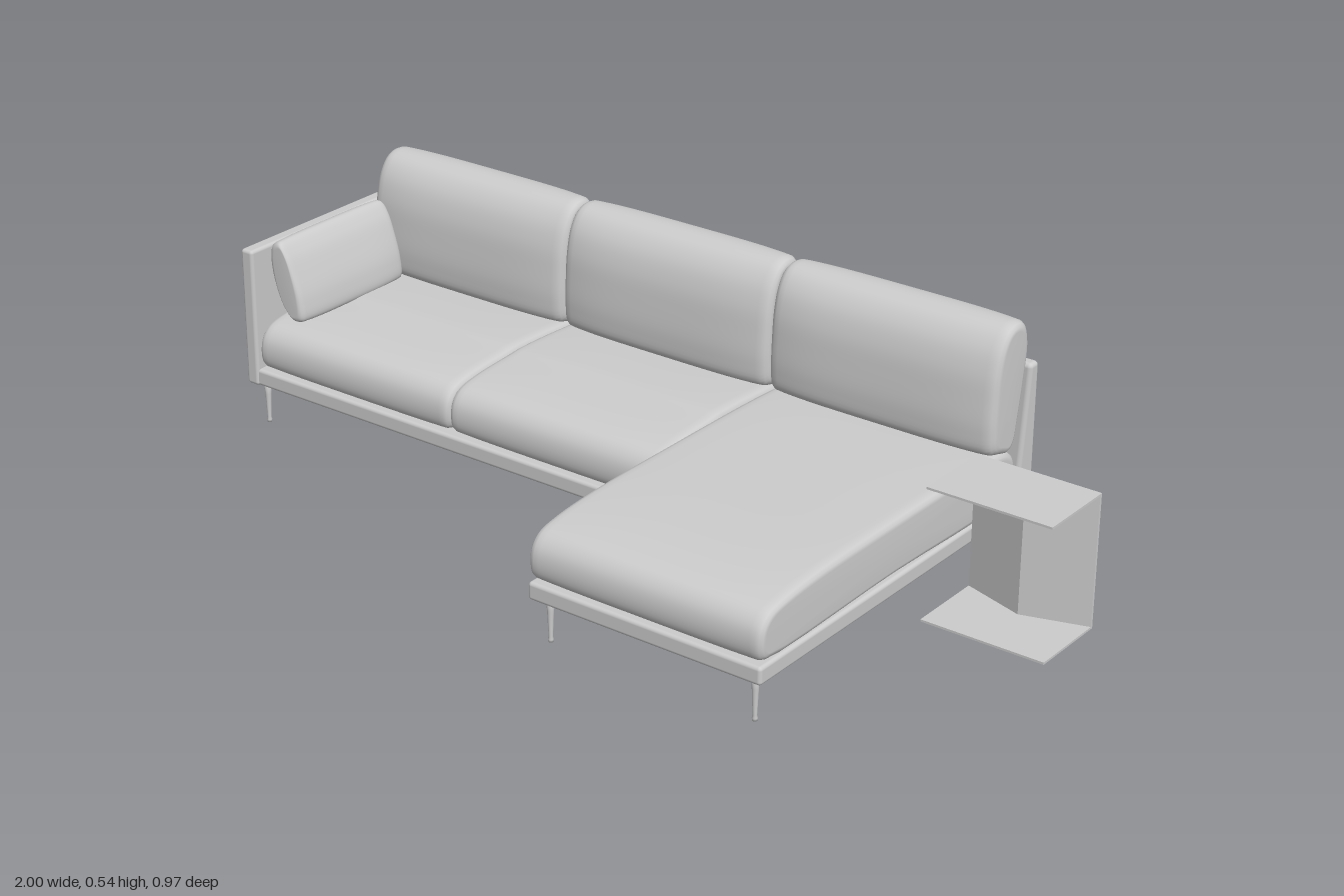
import * as THREE from 'three';
import { RoundedBoxGeometry } from 'three/addons/geometries/RoundedBoxGeometry.js';

const grey = new THREE.MeshStandardMaterial({ color: 0xcccccc });
grey.name = 'light grey';

function add(parent, name, geometry, x = 0, y = 0, z = 0) {
  const mesh = new THREE.Mesh(geometry, grey);
  mesh.name = name;
  mesh.position.set(x, y, z);
  parent.add(mesh);
  return mesh;
}

// Rounded box given by its min and max corners
function block(parent, name, [x0, y0, z0], [x1, y1, z1], radius) {
  const geometry = new RoundedBoxGeometry(x1 - x0, y1 - y0, z1 - z0, 3, radius);
  return add(parent, name, geometry, (x0 + x1) / 2, (y0 + y1) / 2, (z0 + z1) / 2);
}

// Stuffed cushion: a closed [z, y] profile swept along x, slimmer and rounded at both ends
function cushion(profile, length, radius, slimZ, slimY) {
  const points = profile.map(([z, y]) => new THREE.Vector3(0, y, z));
  let ring = new THREE.CatmullRomCurve3(points, true).getPoints(72).slice(0, -1);
  const n = ring.length, steps = 28;
  let area = 0;
  ring.forEach((p, i) => {
    const q = ring[(i + 1) % n];
    area += p.y * q.z - q.y * p.z;
  });
  if (area < 0) ring = ring.reverse();
  const box = new THREE.Box3().setFromPoints(ring);
  const centre = box.getCenter(new THREE.Vector3());
  const half = box.getSize(new THREE.Vector3()).multiplyScalar(0.5);

  const position = [], index = [];
  for (let i = 0; i <= steps; i++) {
    const t = Math.sin((i / steps - 0.5) * Math.PI);
    const edge = Math.max(0, radius - (1 - Math.abs(t)) * length / 2);
    const inset = radius - Math.sqrt(Math.max(0, radius * radius - edge * edge));
    const sz = 1 - slimZ * t ** 4 - inset / half.z;
    const sy = 1 - slimY * t ** 4 - inset / half.y;
    for (const p of ring) {
      position.push(t * length / 2, centre.y + (p.y - centre.y) * sy, centre.z + (p.z - centre.z) * sz);
    }
  }
  for (let i = 0; i < steps; i++) {
    for (let j = 0; j < n; j++) {
      const a = i * n + j, b = i * n + (j + 1) % n;
      index.push(a, b, a + n, b, b + n, a + n);
    }
  }
  // End caps
  const start = position.length / 3, last = steps * n;
  position.push(-length / 2, centre.y, centre.z, length / 2, centre.y, centre.z);
  for (let j = 0; j < n; j++) {
    const k = (j + 1) % n;
    index.push(start, k, j, start + 1, last + j, last + k);
  }
  const geometry = new THREE.BufferGeometry();
  geometry.setAttribute('position', new THREE.Float32BufferAttribute(position, 3));
  geometry.setIndex(index);
  geometry.computeVertexNormals();
  return geometry;
}

// Seat cushion profile with a soft, falling front edge
const seatProfile = (f) => [
  [f - 0.02, 0.14], [f - 0.006, 0.15], [f, 0.18], [f - 0.007, 0.215], [f - 0.03, 0.24],
  [f - 0.085, 0.254], [f - 0.2, 0.264], [(f - 0.4) / 2, 0.267], [-0.3, 0.264], [-0.38, 0.256],
  [-0.408, 0.235], [-0.417, 0.2], [-0.417, 0.16], [-0.405, 0.14], [(f - 0.4) / 2, 0.14],
];

const backProfile = [
  [-0.312, 0.265], [-0.303, 0.31], [-0.305, 0.38], [-0.312, 0.44], [-0.33, 0.49], [-0.36, 0.523],
  [-0.4, 0.535], [-0.44, 0.525], [-0.46, 0.485], [-0.448, 0.4], [-0.425, 0.31], [-0.41, 0.262],
  [-0.39, 0.246], [-0.35, 0.252],
];

// Arm pillow profile, [x, y], leaning on the arm
const armPillowProfile = [
  [-0.962, 0.4], [-0.955, 0.43], [-0.93, 0.44], [-0.905, 0.415], [-0.883, 0.37], [-0.863, 0.31],
  [-0.861, 0.265], [-0.885, 0.258], [-0.92, 0.285], [-0.95, 0.34],
];

// Back panel, thicker at the foot than at the top
function backPanel(parent, x0, x1) {
  const panel = block(parent, 'backPanel', [x0, 0.097, -0.485], [x1, 0.423, -0.418], 0.01);
  const p = panel.geometry.attributes.position;
  for (let i = 0; i < p.count; i++) {
    if (p.getZ(i) > 0) p.setZ(i, p.getZ(i) - 0.035 * (p.getY(i) / 0.326 + 0.5));
  }
}

// Slim tapered leg with two brackets pointing inwards
function leg(parent, x, z, inX, inZ) {
  const group = new THREE.Group();
  group.name = 'leg';
  group.position.set(x, 0, z);
  const outline = [[0, 0], [0.005, 0], [0.006, 0.006], [0.0045, 0.012], [0.007, 0.07], [0.009, 0.097], [0, 0.097]];
  add(group, 'legPost', new THREE.LatheGeometry(outline.map(([r, y]) => new THREE.Vector2(r, y)), 14));
  add(group, 'legBracket', new THREE.BoxGeometry(0.045, 0.007, 0.012), inX * 0.022, 0.0935, 0);
  add(group, 'legBracket', new THREE.BoxGeometry(0.012, 0.007, 0.045), 0, 0.0935, inZ * 0.022);
  parent.add(group);
}

export function createModel() {
  const model = new THREE.Group();
  model.name = 'cornerSofa';

  // Frame
  block(model, 'sofaBase', [-0.975, 0.097, -0.45], [0.149, 0.137, 0.075], 0.008);
  block(model, 'chaiseBase', [0.151, 0.097, -0.45], [0.711, 0.137, 0.485], 0.008);
  block(model, 'arm', [-1, 0.097, -0.485], [-0.966, 0.423, 0.079], 0.008);
  backPanel(model, -1, 0.149);
  backPanel(model, 0.151, 0.711);

  // Seat and back cushions, one of each per place
  [[-0.965, -0.406, 0.074], [-0.406, 0.15, 0.074], [0.151, 0.711, 0.485]].forEach(([x0, x1, front]) => {
    const x = (x0 + x1) / 2, width = x1 - x0;
    add(model, 'seatCushion', cushion(seatProfile(front), width, 0.016, 0, 0.05), x);
    add(model, 'backCushion', cushion(backProfile, width - 0.002, 0.018, 0.2, 0.01), x);
  });

  // Arm pillow
  const pillow = cushion(armPillowProfile, 0.345, 0.012, 0.15, 0.02);
  pillow.rotateY(Math.PI / 2);
  add(model, 'armPillow', pillow, 0, 0, -0.137);

  // Legs
  for (const [left, right, front] of [[-0.965, 0.12, 0.05], [0.183, 0.678, 0.453]]) {
    for (const [x, inX] of [[left, 1], [right, -1]]) {
      leg(model, x, front, inX, -1);
      leg(model, x, -0.453, inX, 1);
    }
  }

  // Side table: two thin plates joined by a folded upright
  const table = new THREE.Group();
  table.name = 'sideTable';
  model.add(table);
  for (const [name, y] of [['tableTop', 0.2985], ['tableFoot', 0.003]]) {
    add(table, name, new THREE.BoxGeometry(0.285, 0.005, 0.187), 0.8575, y, -0.1565);
  }
  const fold = new THREE.Shape([
    [0.715, 0.25], [0.715, 0.244], [0.8575, 0.2], [1, 0.244], [1, 0.25], [0.8575, 0.206],
  ].map(([x, z]) => new THREE.Vector2(x, z)));
  const upright = new THREE.ExtrudeGeometry(fold, { depth: 0.296, bevelEnabled: false });
  upright.rotateX(-Math.PI / 2);
  add(table, 'tableUpright', upright, 0, 0.003, 0);

  return model;
}
